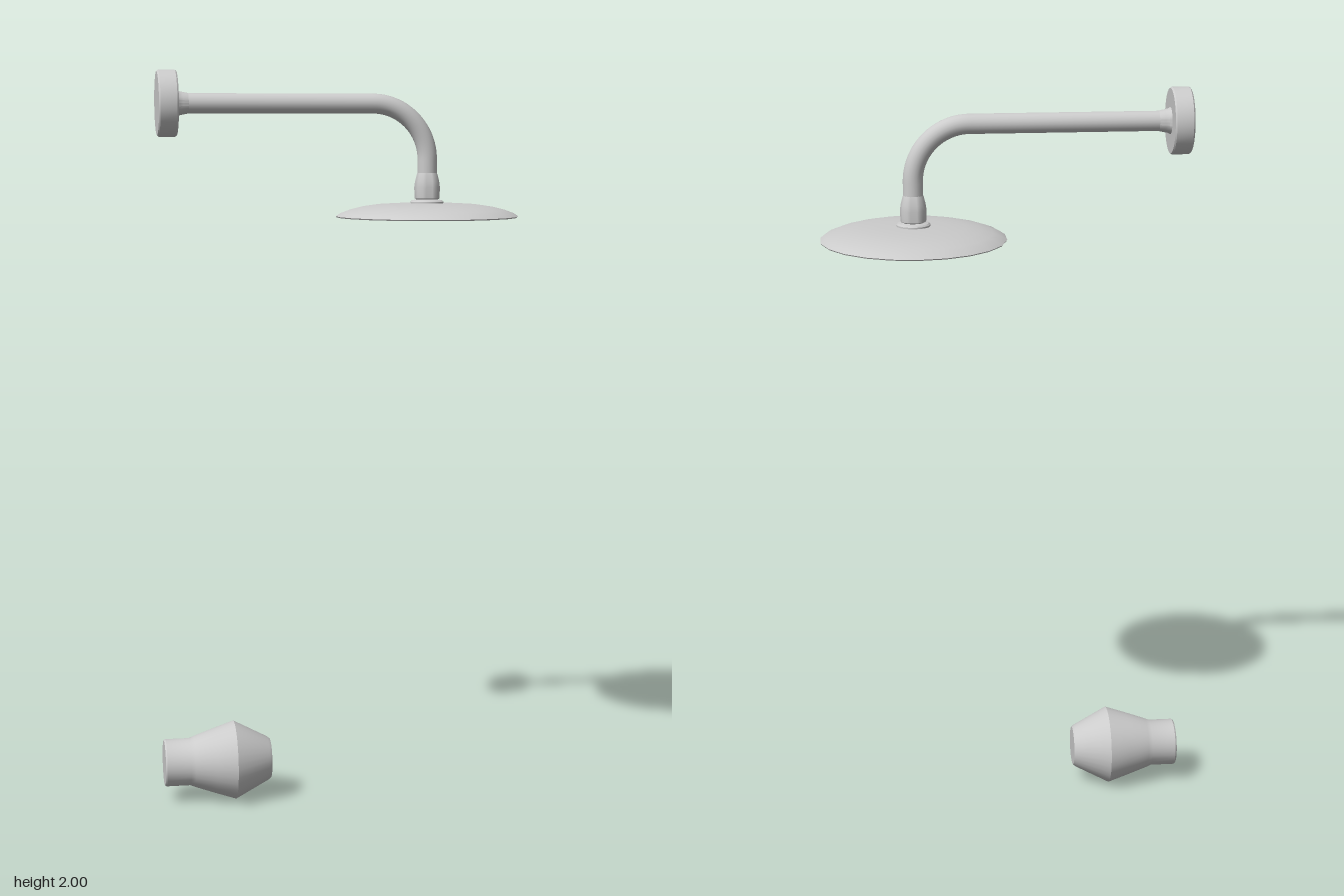
import * as THREE from 'three';
import { toCreasedNormals } from 'three/addons/utils/BufferGeometryUtils.js';

const material = new THREE.MeshStandardMaterial({ color: 0xcccccc });

function addMesh(group, name, geometry) {
  const mesh = new THREE.Mesh(geometry, material);
  mesh.name = name;
  group.add(mesh);
  return mesh;
}

// Turned part from [radius, height] pairs, listed from bottom to top
function turned(profile, sides, crease = 0.5) {
  const points = profile.map(([r, y]) => new THREE.Vector2(r, y));
  return toCreasedNormals(new THREE.LatheGeometry(points, sides), crease);
}

// Same, with the axis laid along +x
function turnedAlongX(profile, sides, crease) {
  return turned(profile, sides, crease).rotateZ(-Math.PI / 2);
}

export function createModel() {
  const group = new THREE.Group();
  const pipeY = 1.914, headX = 0.243, bend = 0.15;

  // Wall flange with a slightly eased rim
  addMesh(group, 'wallFlange', turnedAlongX([
    [0, -0.488], [0.084, -0.488], [0.088, -0.484], [0.088, -0.44], [0.085, -0.436], [0, -0.436],
  ], 32)).position.y = pipeY;

  // Flared bushing where the arm leaves the flange
  addMesh(group, 'armBushing', turnedAlongX([
    [0.036, -0.437], [0.032, -0.43], [0.03, -0.42], [0.027, -0.405],
  ], 24)).position.y = pipeY;

  // Bent arm: straight run, quarter bend, short drop
  const path = new THREE.CurvePath();
  const v = (x, y) => new THREE.Vector3(x, y, 0);
  const bendStart = v(headX - bend, pipeY), bendEnd = v(headX, pipeY - bend);
  const k = bend * 0.5523;
  path.add(new THREE.LineCurve3(v(-0.44, pipeY), bendStart));
  path.add(new THREE.CubicBezierCurve3(bendStart, v(headX - bend + k, pipeY),
    v(headX, pipeY - bend + k), bendEnd));
  path.add(new THREE.LineCurve3(bendEnd, v(headX, 1.7)));
  addMesh(group, 'arm', new THREE.TubeGeometry(path, 96, 0.0265, 20));

  // Swivel nut and collar between arm and head
  addMesh(group, 'swivelNut', turned([
    [0.026, 1.655], [0.034, 1.66], [0.035, 1.69], [0.033, 1.705], [0.028, 1.725], [0.025, 1.732],
  ], 24, 0.8)).position.x = headX;
  addMesh(group, 'headCollar', turned([
    [0.045, 1.642], [0.045, 1.651], [0.041, 1.655], [0.03, 1.657], [0.022, 1.66],
  ], 24)).position.x = headX;

  // Wide shower head: flat face below, shallow dome above
  addMesh(group, 'showerHead', turned([
    [0, 1.609], [0.246, 1.609], [0.248, 1.612], [0.236, 1.62], [0.212, 1.629],
    [0.18, 1.637], [0.14, 1.643], [0.09, 1.646], [0, 1.648],
  ], 22, 0.7)).position.x = headX;

  // Control knob: narrow neck, flared body, tapered nose
  addMesh(group, 'knob', turnedAlongX([
    [0, -0.49], [0.062, -0.49], [0.065, -0.486], [0.065, -0.42], [0.07, -0.408],
    [0.09, -0.35], [0.108, -0.295], [0.06, -0.202], [0.054, -0.195], [0, -0.195],
  ], 32, 0.55)).position.set(0, 0.11, 0.004);

  return group;
}
